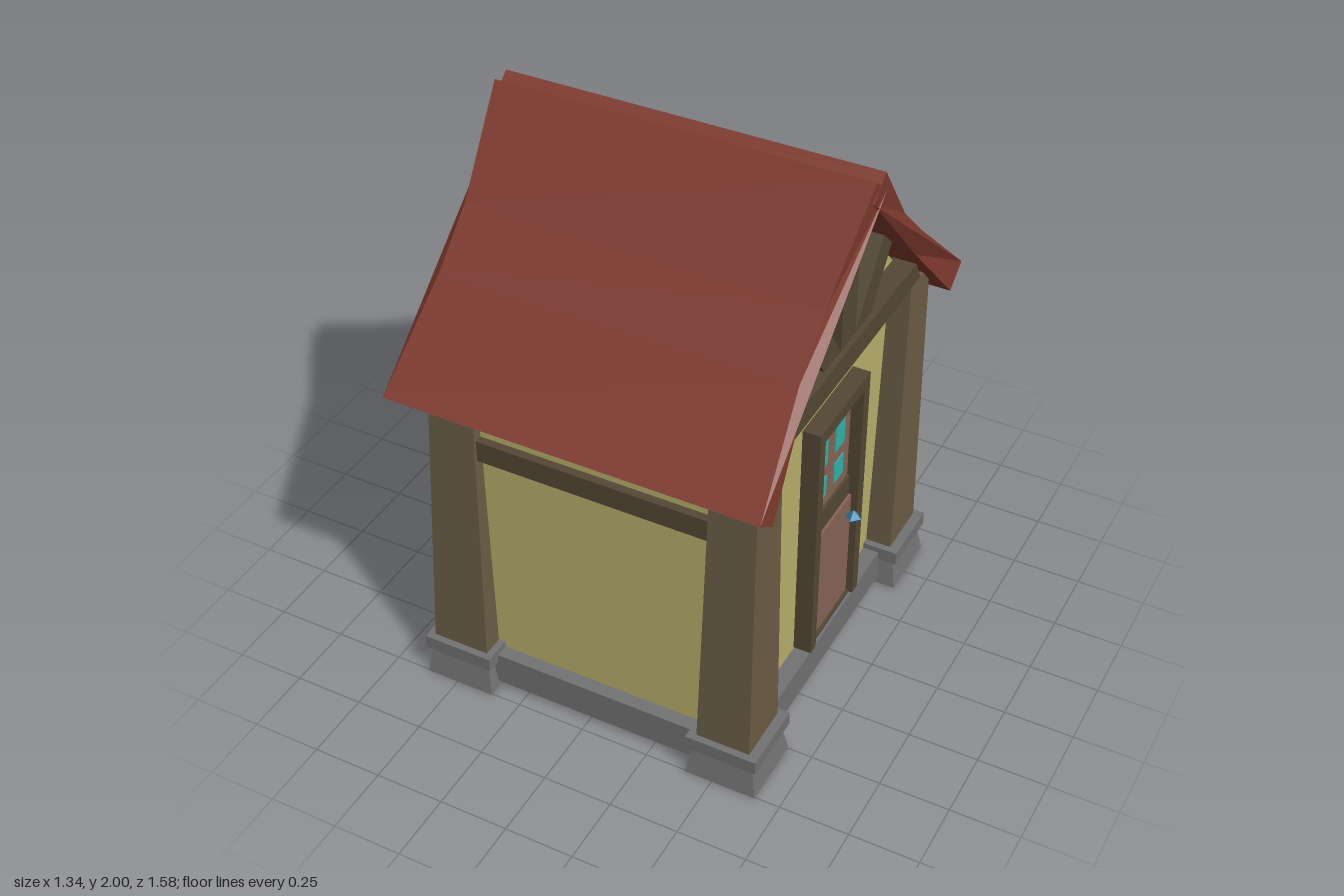
import * as THREE from 'three';

const mat = (color) => new THREE.MeshStandardMaterial({ color, flatShading: true });
const WALL = mat(0xb8b06c), POST = mat(0x6b5d45), BEAM = mat(0x544835), ROOF = mat(0x7e3a2e);
const STONE = mat(0x727272), DOOR = mat(0x866454), GLASS = mat(0x2fb5ac), KNOB = mat(0x2f7fae);

export function createModel() {
  const model = new THREE.Group();

  const add = (name, geometry, material) => {
    const mesh = new THREE.Mesh(geometry, material);
    mesh.name = name;
    model.add(mesh);
    return mesh;
  };

  // Tapered block between a bottom and a top rectangle [x0, x1, z0, z1]
  const block = (name, y0, y1, bottom, top, material) => {
    const g = new THREE.BoxGeometry(1, 1, 1);
    const p = g.attributes.position;
    for (let i = 0; i < p.count; i++) {
      const up = p.getY(i) > 0;
      const r = up ? top : bottom;
      p.setXYZ(i, p.getX(i) > 0 ? r[1] : r[0], up ? y1 : y0, p.getZ(i) > 0 ? r[3] : r[2]);
    }
    g.computeVertexNormals();
    return add(name, g, material);
  };
  const box = (name, x0, x1, y0, y1, z0, z1, material) =>
    block(name, y0, y1, [x0, x1, z0, z1], [x0, x1, z0, z1], material);

  // Outline of [z, y] points extruded along x
  const prism = (points, x0, x1) => {
    const shape = new THREE.Shape(points.map(([z, y]) => new THREE.Vector2(z, y)));
    const g = new THREE.ExtrudeGeometry(shape, { depth: x1 - x0, bevelEnabled: false });
    return g.rotateY(-Math.PI / 2).translate(x1, 0, 0);
  };

  // Plastered house body with its gables
  add('walls', prism([[-0.55, 0], [0.65, 0], [0.65, 1.22], [0, 1.88], [-0.55, 1.3]], -0.49, 0.53), WALL);

  // Stone plinth around the walls
  box('plinthFront', -0.55, 0.59, 0.02, 0.145, 0.6, 0.7, STONE);
  box('plinthBack', -0.55, 0.59, 0.02, 0.145, -0.6, -0.5, STONE);
  box('plinthLeft', 0.5, 0.59, 0.02, 0.145, -0.6, 0.7, STONE);
  box('plinthRight', -0.55, -0.46, 0.02, 0.145, -0.6, 0.7, STONE);

  // Corner posts on flared stone feet
  for (const side of ['Left', 'Right']) {
    for (const end of ['Front', 'Back']) {
      const [fx0, fx1] = side === 'Left' ? [0.4, 0.66] : [-0.62, -0.36];
      const [fz0, fz1] = end === 'Front' ? [0.495, 0.755] : [-0.66, -0.4];
      const postBottomX = side === 'Left' ? [0.43, 0.625] : [-0.595, -0.385];
      const postTopX = side === 'Left' ? [0.447, 0.61] : [-0.568, -0.405];
      const postBottomZ = end === 'Front' ? [0.515, 0.73] : [-0.64, -0.425];
      const postTopZ = end === 'Front' ? [0.515, 0.68] : [-0.64, -0.48];
      block('footStone' + end + side, 0, 0.115, [fx0, fx1, fz0, fz1],
        [fx0 + 0.02, fx1 - 0.02, fz0 + 0.02, fz1 - 0.02], STONE);
      box('footCap' + end + side, fx0, fx1, 0.115, 0.167, fz0, fz1, STONE);
      block('post' + end + side, 0.16, 1.28, [...postBottomX, ...postBottomZ],
        [...postTopX, ...postTopZ], POST);
    }
  }

  // Horizontal rails under the eaves
  box('railFront', -0.42, 0.46, 0.985, 1.065, 0.6, 0.68, BEAM);
  box('railBack', -0.42, 0.46, 0.985, 1.065, -0.61, -0.5, BEAM);

  // Gable timbers at both ends
  for (const [side, x0, x1] of [['Left', 0.5, 0.61], ['Right', -0.57, -0.46]]) {
    const a = side === 'Left' ? x0 : x0 + 0.02;
    const b = side === 'Left' ? x1 - 0.02 : x1;
    add('tieBeam' + side, prism([[-0.56, 1.275], [0.59, 1.275], [0.52, 1.36], [-0.51, 1.36]], x0, x1), BEAM);
    add('kingPost' + side, prism([[-0.058, 1.35], [0.055, 1.35], [0.055, 1.83], [0, 1.885], [-0.058, 1.83]], a, b), BEAM);
    add('braceFront' + side, prism([[0.05, 1.355], [0.175, 1.355], [0.335, 1.57], [0.265, 1.645]], a, b), BEAM);
    add('braceBack' + side, prism([[-0.05, 1.355], [-0.265, 1.635], [-0.335, 1.565], [-0.175, 1.355]], a, b), BEAM);
  }

  // Sagging roof slabs, pinched in along the middle
  const roofProfile = [[-0.05, 1.93], [0.25, 1.623], [0.42, 1.46], [0.7, 1.153],
    [0.79, 1.222], [0.47, 1.525], [0.3, 1.69], [0.035, 2]];
  const slab = prism(roofProfile, -0.67, 0.67);
  const p = slab.attributes.position;
  for (let i = 0; i < p.count; i++) {
    const z = p.getZ(i);
    if (z > 0.2 && z < 0.5) p.setX(i, Math.sign(p.getX(i)) * 0.637);
  }
  slab.computeVertexNormals();
  add('roofFront', slab, ROOF);
  add('roofBack', slab.clone().rotateY(Math.PI), ROOF);

  // Door frame
  box('doorJambFront', 0.5, 0.595, 0.15, 1.11, 0.15, 0.192, BEAM);
  box('doorJambBack', 0.5, 0.595, 0.15, 1.11, -0.2, -0.155, BEAM);
  box('doorLintel', 0.5, 0.595, 1.06, 1.11, -0.155, 0.15, BEAM);
  box('doorSill', 0.5, 0.58, 0.145, 0.158, -0.155, 0.15, BEAM);

  // Door leaf, middle rail, panes and knob
  box('doorLeaf', 0.5, 0.55, 0.158, 1.06, -0.155, 0.15, DOOR);
  box('doorLowerPanel', 0.54, 0.57, 0.158, 0.6, -0.155, 0.15, DOOR);
  box('doorRail', 0.54, 0.56, 0.6, 0.685, -0.155, 0.15, BEAM);
  for (const [z0, z1] of [[0.03, 0.105], [-0.105, -0.032]]) {
    for (const [y0, y1] of [[0.732, 0.817], [0.868, 0.985]]) {
      box('doorPane', 0.54, 0.554, y0, y1, z0, z1, GLASS);
    }
  }
  add('doorKnob', new THREE.OctahedronGeometry(0.03), KNOB).position.set(0.602, 0.547, -0.107);

  return model;
}
